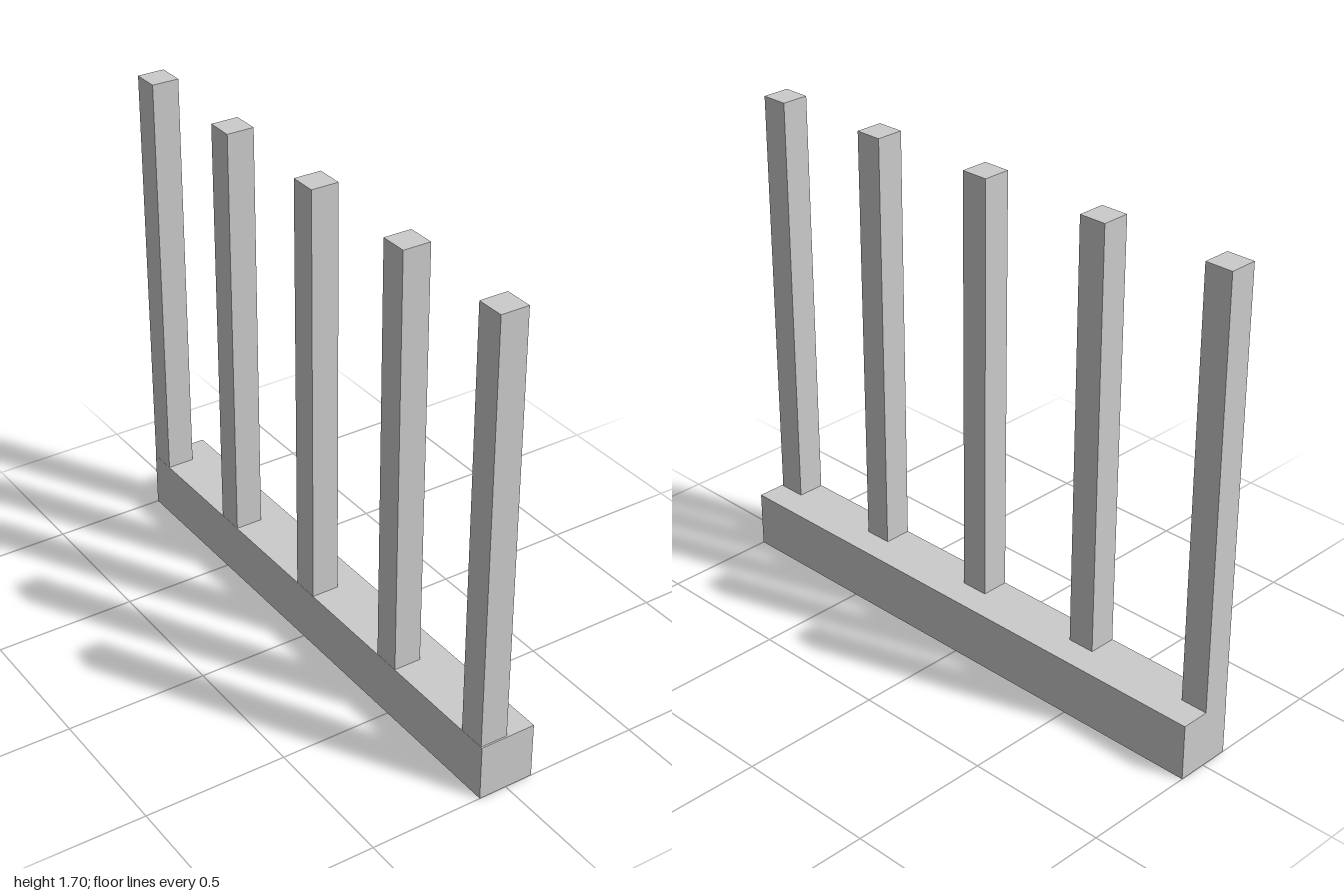
import * as THREE from 'three';

const material = new THREE.MeshStandardMaterial({ color: 0xcccccc, flatShading: true });

function box(name, size, position) {
  const mesh = new THREE.Mesh(new THREE.BoxGeometry(...size), material);
  mesh.name = name;
  mesh.position.set(...position);
  return mesh;
}

export function createModel() {
  const group = new THREE.Group();
  group.name = 'postRail';

  // Long base beam
  group.add(box('baseBeam', [0.2, 0.2, 2], [0, 0.1, 0]));

  // Square posts along the right edge, sunk slightly into the beam
  const postWidth = 0.098, postTop = 1.7, postBottom = 0.18;
  [0.945, 0.487, 0.01, -0.476, -0.951].forEach((z, i) => {
    group.add(box(`post${i + 1}`, [postWidth, postTop - postBottom, postWidth],
      [-0.05, (postTop + postBottom) / 2, z]));
  });

  return group;
}
